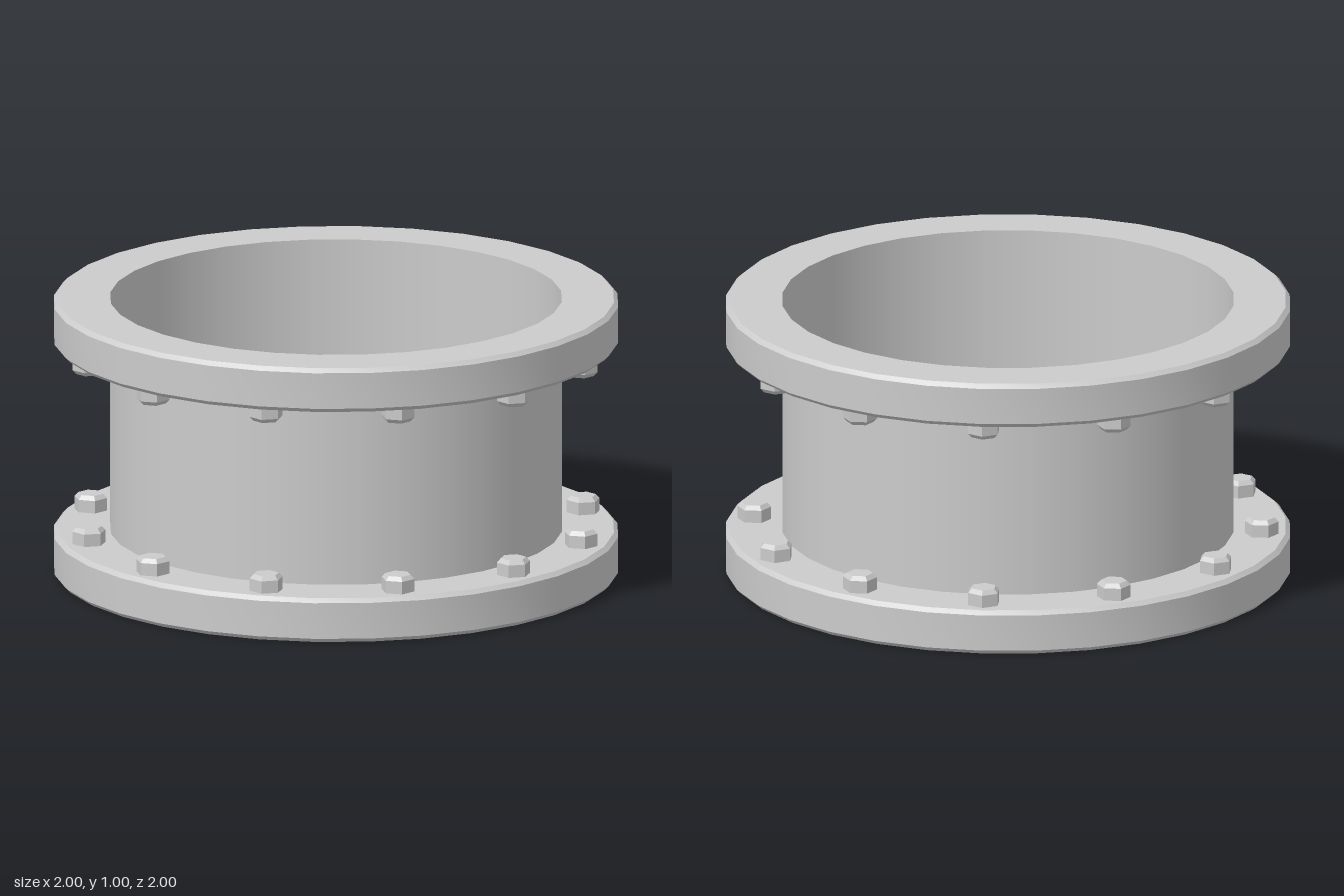
import * as THREE from 'three';
import { toCreasedNormals } from 'three/addons/utils/BufferGeometryUtils.js';

const SIDES = 32;
const BORE = 0.8;        // pipe radius
const FLANGE_H = 0.16;
const BEVEL = 0.015;
const BOLTS = 12;
const BOLT_CIRCLE = 0.9;

const lathe = (points, sides) =>
  new THREE.LatheGeometry(points.map(([r, y]) => new THREE.Vector2(r, y)), sides);

export function createModel() {
  const model = new THREE.Group();
  model.name = 'flangedPipe';
  const smooth = new THREE.MeshStandardMaterial({ color: 0xcccccc });
  const thin = new THREE.MeshStandardMaterial({ color: 0xcccccc, side: THREE.DoubleSide });
  const faceted = new THREE.MeshStandardMaterial({ color: 0xcccccc, flatShading: true });

  // Thin pipe wall, running the full height
  const pipe = new THREE.Mesh(lathe([[BORE, 0], [BORE, 1]], SIDES), thin);
  pipe.name = 'pipeWall';
  model.add(pipe);

  // Ring with bevelled outer rims; the pipe wall closes its inside
  const ringGeometry = toCreasedNormals(lathe([
    [BORE, 0], [1 - BEVEL, 0], [1, BEVEL],
    [1, FLANGE_H - BEVEL], [1 - BEVEL, FLANGE_H], [BORE, FLANGE_H],
  ], SIDES), 0.5);

  // Hexagonal bolt head with a chamfered top, one corner pointing outwards
  const boltGeometry = lathe([[0.06, 0], [0.06, 0.045], [0.046, 0.06], [0, 0.06]], 6);

  // Flange and its bolts, flipped over for the top end
  for (const end of ['bottom', 'top']) {
    const flange = new THREE.Group();
    flange.name = `${end}Flange`;
    const ring = new THREE.Mesh(ringGeometry, smooth);
    ring.name = `${end}Ring`;
    flange.add(ring);
    for (let i = 0; i < BOLTS; i++) {
      const a = (i / BOLTS) * Math.PI * 2;
      const bolt = new THREE.Mesh(boltGeometry, faceted);
      bolt.name = `${end}Bolt${i + 1}`;
      bolt.position.set(Math.sin(a) * BOLT_CIRCLE, FLANGE_H, Math.cos(a) * BOLT_CIRCLE);
      bolt.rotation.y = a;
      flange.add(bolt);
    }
    if (end === 'top') {
      flange.position.y = 1;
      flange.rotation.z = Math.PI;
    }
    model.add(flange);
  }
  return model;
}
